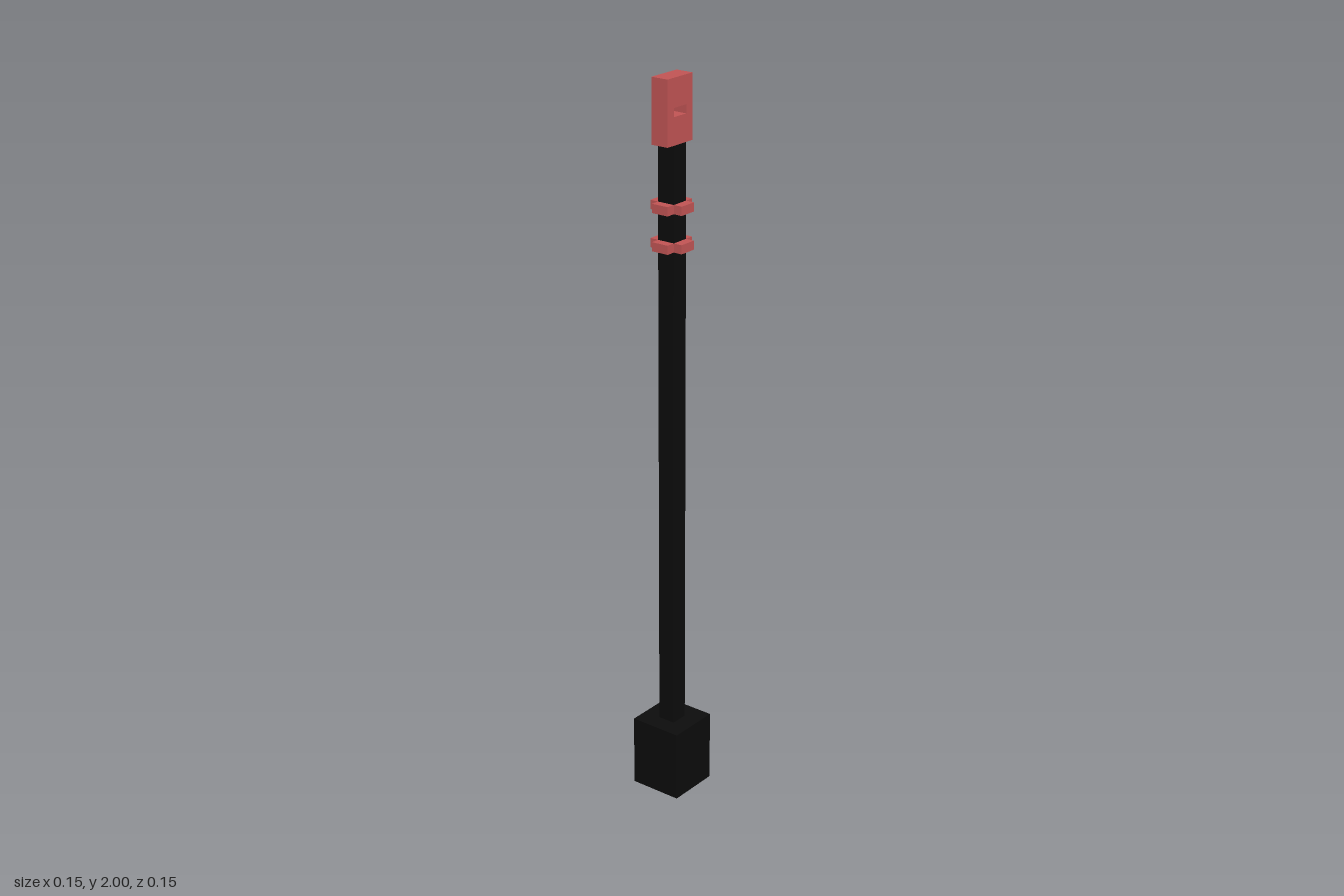
import * as THREE from 'three';

export function createModel() {
  const group = new THREE.Group();
  const black = new THREE.MeshStandardMaterial({ color: 0x0c0c0c });
  black.name = 'black';
  const red = new THREE.MeshStandardMaterial({ color: 0xc05454 });
  red.name = 'red';

  const add = (name, geometry, material, y) => {
    const mesh = new THREE.Mesh(geometry, material);
    mesh.name = name;
    mesh.position.y = y;
    group.add(mesh);
  };
  const points = (list) => list.map(([x, y]) => new THREE.Vector2(x, y));
  const rect = (w, h, y = 0) =>
    points([[-w, y - h], [w, y - h], [w, y + h], [-w, y + h]]);

  // Square base and long post
  add('base', new THREE.BoxGeometry(0.15, 0.2, 0.15), black, 0.1);
  add('post', new THREE.BoxGeometry(0.05, 1.63, 0.05), black, 1.015);

  // Flat head with a slot cut right through
  const headShape = new THREE.Shape(rect(0.05, 0.085));
  headShape.holes.push(new THREE.Path(rect(0.025, 0.0115, -0.0015)));
  const head = new THREE.ExtrudeGeometry(headShape, { depth: 0.05, bevelEnabled: false });
  head.translate(0, 0, -0.025);
  add('head', head, red, 1.915);

  // Cross-shaped collars around the post
  const a = 0.025, b = 0.05;
  const cross = new THREE.Shape(points([
    [-a, -b], [a, -b], [a, -a], [b, -a], [b, a], [a, a],
    [a, b], [-a, b], [-a, a], [-b, a], [-b, -a], [-a, -a],
  ]));
  const collar = new THREE.ExtrudeGeometry(cross, { depth: 0.024, bevelEnabled: false });
  collar.translate(0, 0, -0.012).rotateX(-Math.PI / 2);
  add('lowerCollar', collar, red, 1.567);
  add('upperCollar', collar, red, 1.667);

  return group;
}
